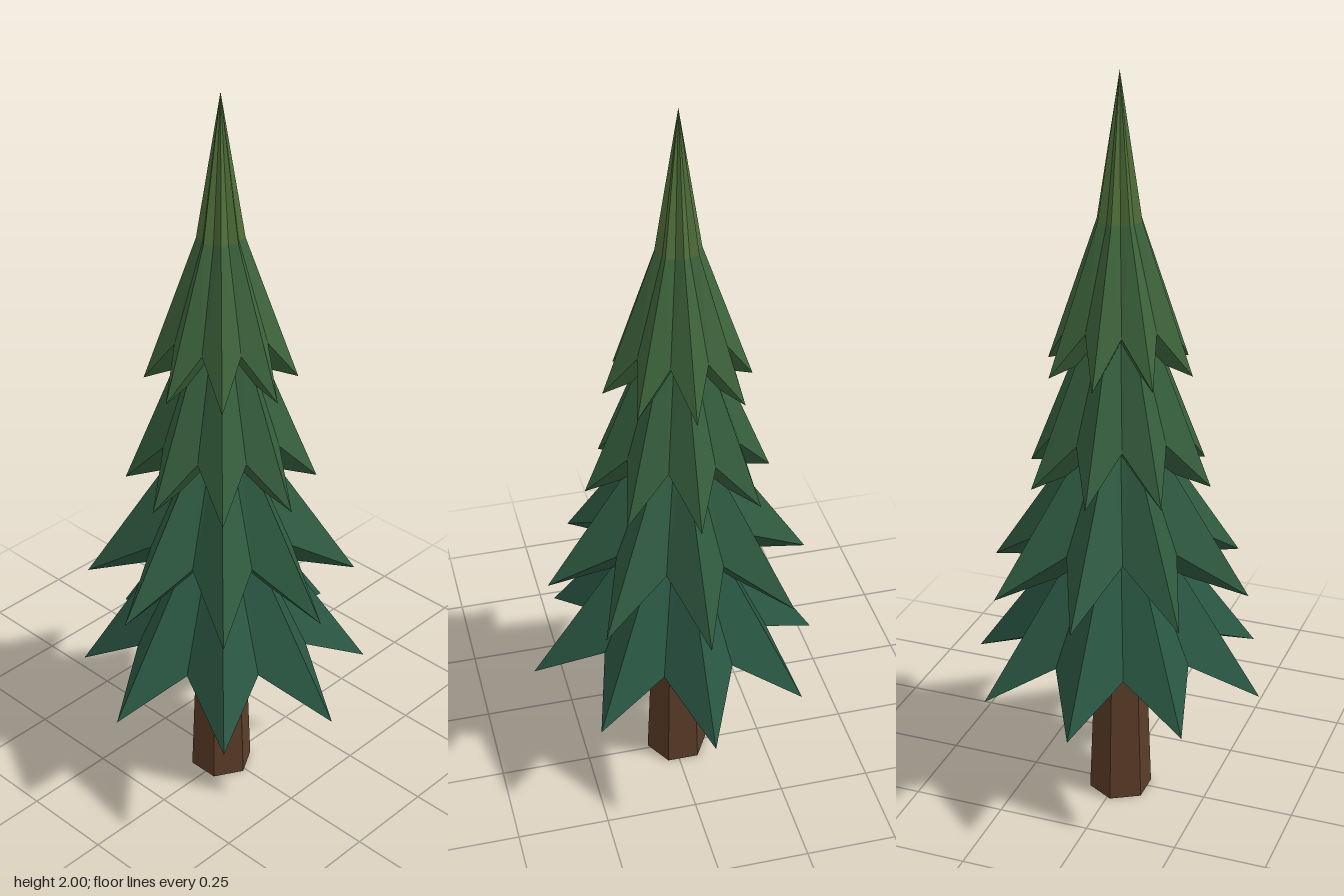
import * as THREE from 'three';

const POINTS = 8;

// Ring of alternating branch tips and valleys; tips sit on the axes and diagonals
function starRing(tipR, tipY, valleyR, valleyY, vary = []) {
  const ring = [];
  for (let i = 0; i < POINTS * 2; i++) {
    const a = (i * Math.PI) / POINTS;
    const isTip = i % 2 === 0;
    const r = isTip ? tipR + (vary[i / 2] ?? 0) : valleyR;
    ring.push(new THREE.Vector3(Math.sin(a) * r, isTip ? tipY : valleyY, Math.cos(a) * r));
  }
  return ring;
}

// Triangles between two rings; either ring may be a single point
function skin(name, color, layers) {
  const pos = [];
  const tri = (...pts) => pts.forEach((p) => pos.push(p.x, p.y, p.z));
  const n = POINTS * 2;
  for (let l = 0; l < layers.length - 1; l++) {
    const lo = layers[l], hi = layers[l + 1];
    for (let i = 0; i < n; i++) {
      const j = (i + 1) % n;
      if (!Array.isArray(lo)) tri(lo, hi[j], hi[i]);
      else if (!Array.isArray(hi)) tri(lo[i], lo[j], hi);
      else if (i % 2 === 0) {
        tri(lo[i], lo[j], hi[i]);
        tri(lo[j], hi[j], hi[i]);
      } else {
        tri(lo[i], lo[j], hi[j]);
        tri(lo[i], hi[j], hi[i]);
      }
    }
  }
  const geo = new THREE.BufferGeometry();
  geo.setAttribute('position', new THREE.Float32BufferAttribute(pos, 3));
  geo.computeVertexNormals();
  const mesh = new THREE.Mesh(geo, new THREE.MeshStandardMaterial({ color, flatShading: true, side: THREE.DoubleSide }));
  mesh.name = name;
  return mesh;
}

export function createModel() {
  const tree = new THREE.Group();
  tree.name = 'pineTree';

  // Tapered six-sided trunk
  const trunk = new THREE.Mesh(
    new THREE.CylinderGeometry(0.065, 0.086, 0.55, 6, 1, false, Math.PI / 6),
    new THREE.MeshStandardMaterial({ color: 0x5a3c28, flatShading: true })
  );
  trunk.name = 'trunk';
  trunk.position.set(-0.011, 0.275, 0.01);
  tree.add(trunk);

  // Drooping branch tiers, bottom to top: rim, underside centre and upper ring
  const lowVary = [-0.005, 0.014, 0.006, -0.007, 0.012, -0.008, -0.015, -0.022];
  const tiers = [
    { tipR: 0.4, tipY: 0.36, valR: 0.245, valY: 0.47, under: 0.5, topY: 0.86, color: 0x2a5643, vary: lowVary },
    { tipR: 0.357, tipY: 0.655, valR: 0.2, valY: 0.78, under: 0.71, topY: 1.11, color: 0x2f5a40 },
    { tipR: 0.248, tipY: 0.95, valR: 0.16, valY: 1.075, under: 1.0, topY: 1.42, color: 0x365f3e },
    { tipR: 0.195, tipY: 1.245, valR: 0.125, valY: 1.365, under: 1.3, topY: 1.63, color: 0x3e653c },
  ];
  const foliage = new THREE.Group();
  foliage.name = 'foliage';
  foliage.position.set(-0.013, 0, 0.007);
  tiers.forEach((t, i) => {
    foliage.add(skin(`branchTier${i + 1}`, t.color, [
      new THREE.Vector3(0, t.under, 0),
      starRing(t.tipR, t.tipY, t.valR, t.valY, t.vary),
      starRing(0.06, t.topY, 0.047, t.topY),
    ]));
  });

  // Slender spike at the crown
  foliage.add(skin('crownSpike', 0x506f3a, [starRing(0.06, 1.63, 0.047, 1.63), new THREE.Vector3(0, 2, 0)]));
  tree.add(foliage);
  return tree;
}
